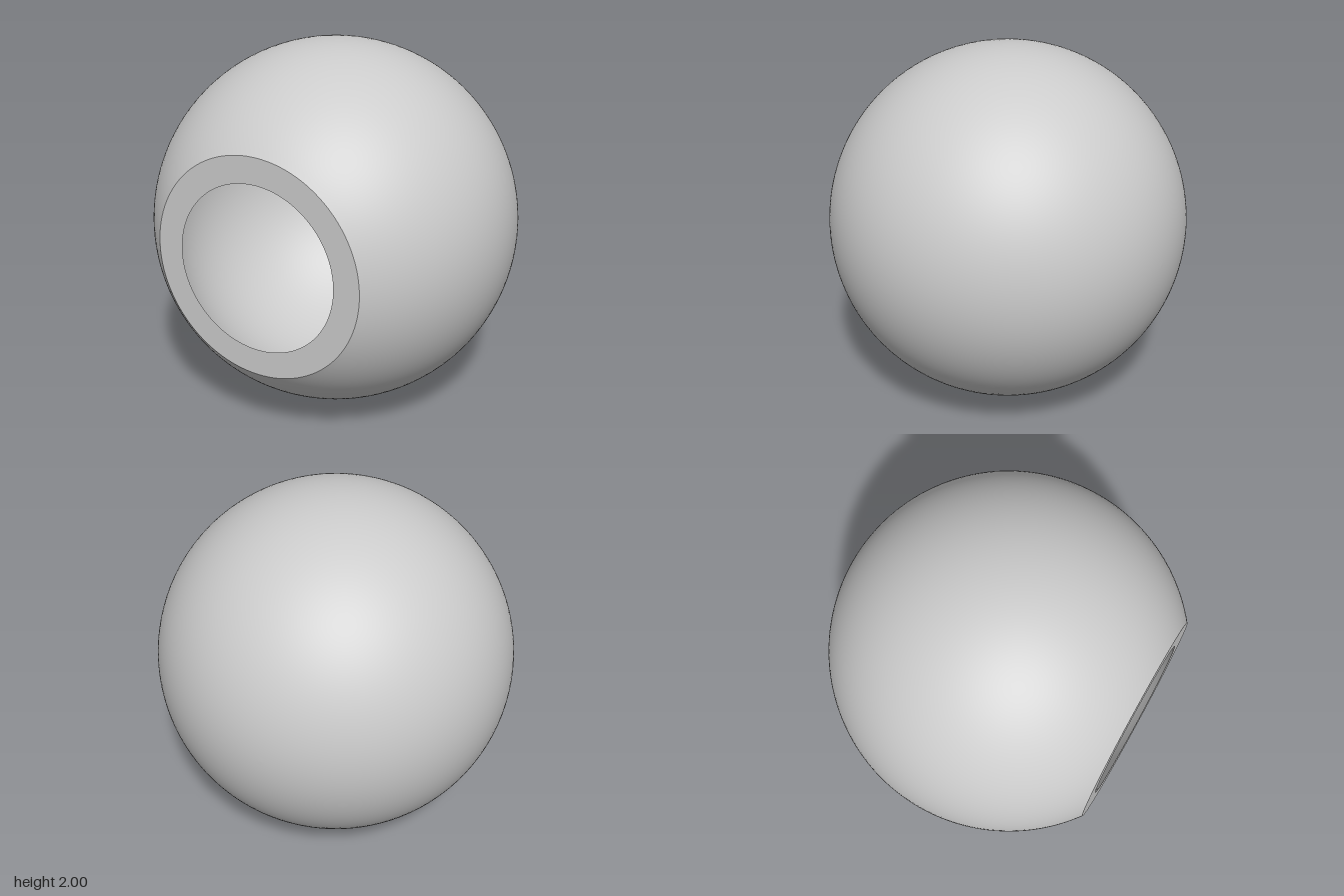
import * as THREE from 'three';

const OUTER = 1, INNER = 0.92, CUT = 0.8; // radii and distance from centre to the flat opening
const SIDES = 128, STEPS = 72;

// Arc of a circle from the back pole to the opening plane
function arc(radius) {
  const end = Math.acos(-CUT / radius);
  return Array.from({ length: STEPS + 1 }, (_, i) => {
    const a = (end * i) / STEPS;
    return new THREE.Vector2(i ? radius * Math.sin(a) : 0, -radius * Math.cos(a));
  });
}

export function createModel() {
  const group = new THREE.Group();
  group.name = 'hollowBall';
  const material = new THREE.MeshStandardMaterial({ color: 0xcccccc });

  // Each surface is turned separately so the rim keeps crisp edges
  const addTurned = (name, points) => {
    const geometry = new THREE.LatheGeometry(points, SIDES);
    geometry.rotateX(Math.PI / 2); // opening faces +z
    const mesh = new THREE.Mesh(geometry, material);
    mesh.name = name;
    mesh.position.set(0, 1, 0.1);
    group.add(mesh);
  };

  const outer = arc(OUTER);
  const inner = arc(INNER);
  addTurned('outerShell', outer);
  addTurned('openingRim', [outer[STEPS].clone(), inner[STEPS].clone()]);
  addTurned('innerCavity', inner.reverse()); // reversed so it faces inward

  return group;
}
